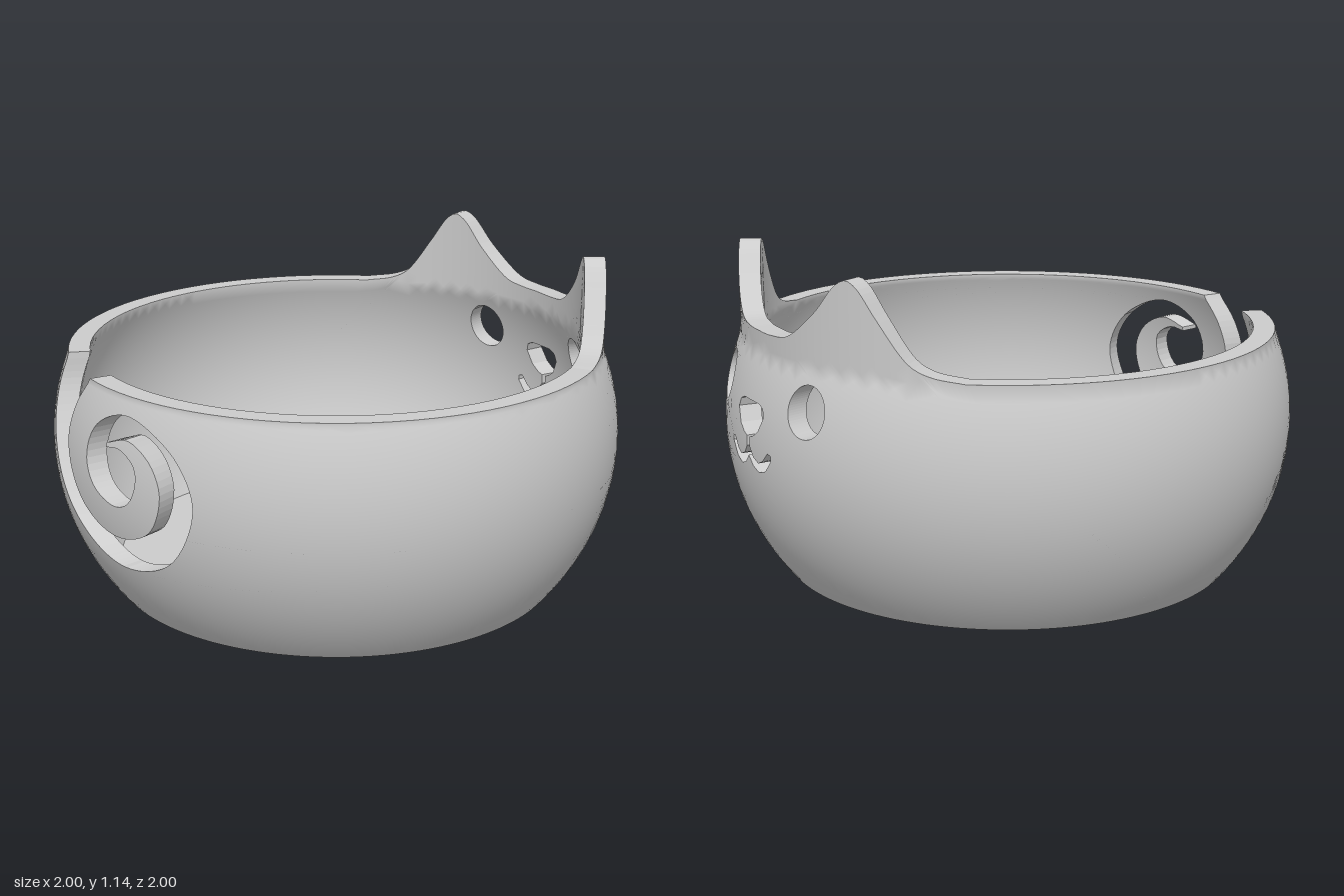
import * as THREE from 'three';

const WALL = 0.075, RIM = 0.85, FACE = 216.2, EARS = 214.4;
const rad = THREE.MathUtils.degToRad;

// Outer radius of the squashed round body; the ears rise straight above it
const radiusAt = (y) => Math.sqrt(1 - ((Math.min(y, 0.84) - 0.53) / 0.883) ** 2);

// Smooth curve through [degrees, height] points
function smooth(points, count) {
  const curve = new THREE.CatmullRomCurve3(
    points.map(([a, y]) => new THREE.Vector3(rad(a), y, 0)), false, 'centripetal');
  return curve.getSpacedPoints(count).map((p) => new THREE.Vector2(p.x, p.y));
}

// Splits long edges at their middle so the flat wall can bend smoothly
function refine(geometry, maxEdge) {
  const pos = geometry.attributes.position, nor = geometry.attributes.normal;
  const stack = [], done = [];
  for (let i = 0; i < pos.count; i += 3) {
    stack.push([0, 1, 2].map((k) => ({
      p: new THREE.Vector3().fromBufferAttribute(pos, i + k),
      n: new THREE.Vector3().fromBufferAttribute(nor, i + k),
    })));
  }
  while (stack.length) {
    const t = stack.pop();
    const len = [0, 1, 2].map((k) => t[k].p.distanceTo(t[(k + 1) % 3].p));
    const k = len.indexOf(Math.max(...len));
    if (len[k] <= maxEdge) { done.push(...t); continue; }
    const a = t[k], b = t[(k + 1) % 3], c = t[(k + 2) % 3];
    const m = { p: a.p.clone().add(b.p).multiplyScalar(0.5), n: a.n };
    stack.push([a, m, c], [m, b, c]);
  }
  return done;
}

// Wraps the flat wall (angle, height, depth) around the body
function wrap(vertices) {
  const position = [], normal = [];
  for (const { p, n } of vertices) {
    const r = radiusAt(p.y) - WALL + p.z;
    const out = new THREE.Vector3(-Math.cos(p.x), 0, Math.sin(p.x));
    const side = new THREE.Vector3(Math.sin(p.x), 0, Math.cos(p.x));
    const slope = (radiusAt(p.y + 0.01) - radiusAt(p.y - 0.01)) / 0.02;
    const up = out.clone().multiplyScalar(slope).setY(1).normalize();
    const face = out.clone().setY(-slope).normalize();
    position.push(out.x * r, p.y, out.z * r);
    // The level rim keeps an upright normal, the other cuts follow the surface
    if (Math.abs(n.y) > 0.999) up.set(0, 1, 0);
    const v = side.multiplyScalar(n.x).addScaledVector(up, n.y).addScaledVector(face, n.z).normalize();
    normal.push(v.x, v.y, v.z);
  }
  const g = new THREE.BufferGeometry();
  g.setAttribute('position', new THREE.Float32BufferAttribute(position, 3));
  g.setAttribute('normal', new THREE.Float32BufferAttribute(normal, 3));
  return g;
}

// Rim with two ears, right to left
function earLine() {
  const half = [[53, RIM], [46, 0.868], [42, 0.9], [35.5, 1.03], [31, 1.125], [28.6, 1.145],
    [26, 1.125], [20.3, 1.025], [12, 0.93], [6, 0.915]];
  const right = half.map(([a, y]) => [EARS + a, y]);
  const left = half.map(([a, y]) => [EARS - a, y]).reverse();
  return smooth([...right, [EARS, 0.914], ...left], 110);
}

// Spiral yarn slot: down along the hook, then back out along the body side
function spiralLine() {
  const hookSide = [[36, RIM], [32.5, 0.74], [31.6, 0.62], [38, 0.444], [48.8, 0.374], [58.7, 0.433],
    [61.8, 0.567], [59.3, 0.663], [53, 0.717], [47, 0.69]];
  const bodySide = [[47, 0.675], [51, 0.682], [55.2, 0.64], [55.7, 0.583], [53.8, 0.515], [49.8, 0.487],
    [43.1, 0.53], [40.5, 0.62], [42.6, 0.727], [51.6, 0.79], [64.6, 0.7], [69, 0.55], [62.8, 0.337],
    [47, 0.256], [30.7, 0.38], [20, 0.62], [16.5, 0.75], [16, RIM]];
  return [...smooth(hookSide, 60), ...smooth(bodySide, 120)];
}

// Nose, slit and mouth as one mirrored opening
function noseAndMouth() {
  const half = [[0.06, 0.69], [0.09, 0.678], [0.1, 0.65], [0.07, 0.6], [0.035, 0.577], [0.01, 0.57],
    [0.01, 0.535], [0.035, 0.505], [0.07, 0.492], [0.1, 0.505], [0.135, 0.54], [0.153, 0.536],
    [0.155, 0.518], [0.115, 0.475], [0.07, 0.46], [0.03, 0.475]];
  const c = rad(FACE);
  const pts = [...half, [0, 0.505], ...half.map(([u, y]) => [-u, y]).reverse()];
  return new THREE.Path(pts.map(([u, y]) => new THREE.Vector2(c + u, y)));
}

function bowlWall() {
  const corner = (a, y) => new THREE.Vector2(rad(a), y);
  const shape = new THREE.Shape([
    corner(-45, 0), corner(315, 0), corner(315, RIM),
    ...earLine(), ...spiralLine(), corner(-45, RIM),
  ]);
  for (const s of [-1, 1]) {
    const eye = new THREE.Path().absarc(rad(FACE + s * 18.3), 0.71, 0.085, 0, Math.PI * 2);
    shape.holes.push(new THREE.Path(eye.getPoints(32).slice(0, -1)));
  }
  shape.holes.push(noseAndMouth());
  const flat = new THREE.ExtrudeGeometry(shape, { depth: WALL, bevelEnabled: false });
  return wrap(refine(flat.index ? flat.toNonIndexed() : flat, 0.08));
}

export function createModel() {
  const group = new THREE.Group();
  const material = new THREE.MeshStandardMaterial({ color: 0xcccccc, side: THREE.DoubleSide });
  const add = (name, geometry) => {
    const mesh = new THREE.Mesh(geometry, material);
    mesh.name = name;
    group.add(mesh);
    return mesh;
  };

  // Wall with ears, face openings and spiral slot
  add('bowlWall', bowlWall());

  // Floor inside and base underneath
  add('bowlFloor', new THREE.CircleGeometry(0.785, 96).rotateX(-Math.PI / 2)).position.y = 0.07;
  add('bowlBase', new THREE.CircleGeometry(0.73, 96).rotateX(Math.PI / 2));

  group.name = 'catYarnBowl';
  return group;
}
